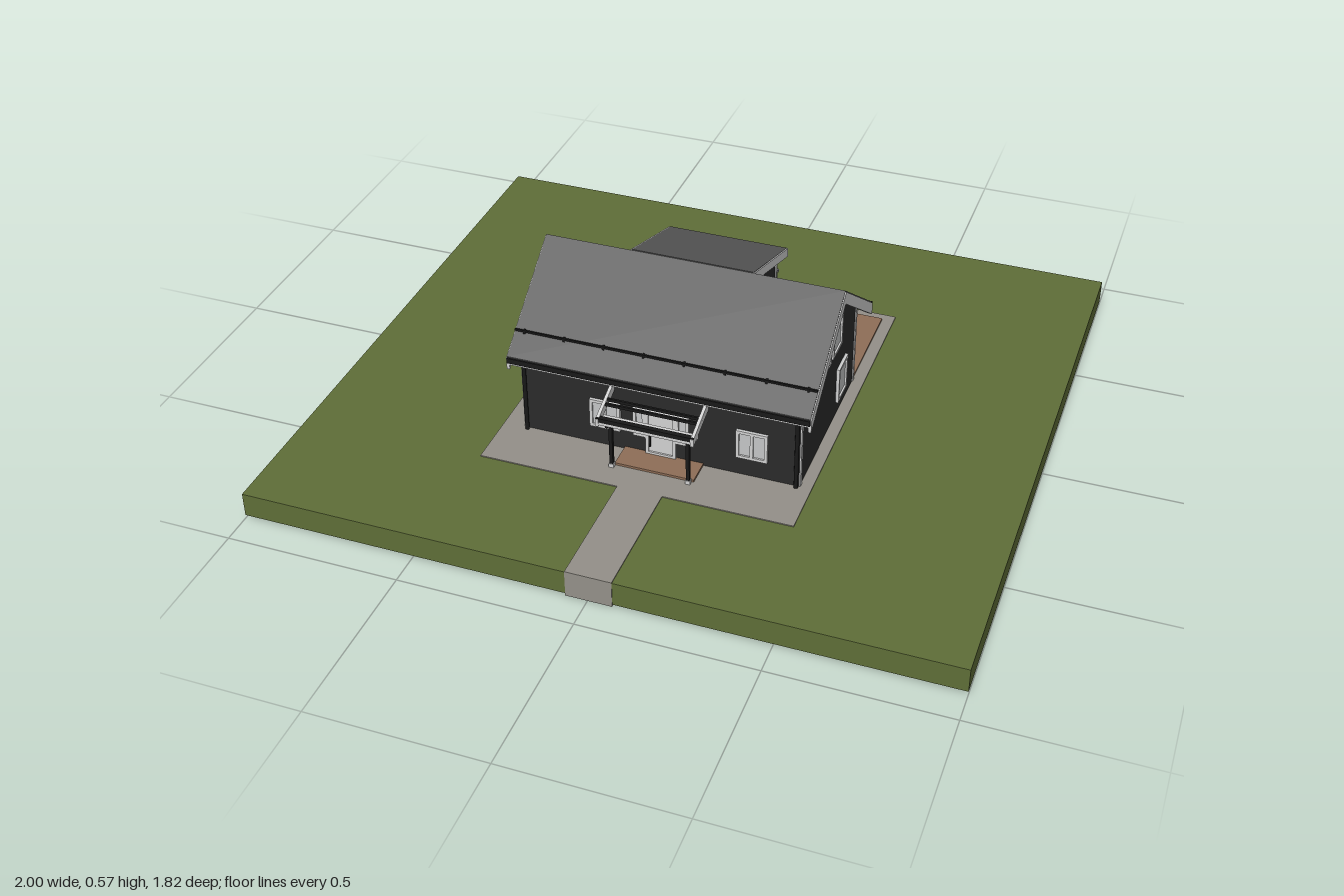
import * as THREE from 'three';

const material = (name, color) => {
  const m = new THREE.MeshStandardMaterial({ color });
  m.name = name;
  return m;
};

export function createModel() {
  const model = new THREE.Group();
  model.name = 'houseOnLawn';
  const grass = material('grass', 0x5f6e38);
  const paving = material('paving', 0x949089);
  const wood = material('deckWood', 0x8f6e57);
  const wall = material('darkCladding', 0x2b2b2b);
  const tiles = material('roofTiles', 0x5a5a5a);
  const white = material('paleTrim', 0xd2d2d2);
  const glass = material('paleGlass', 0xc4c6c7);
  const black = material('blackMetal', 0x191919);
  const metal = material('greyMetal', 0x8c8c8c);

  // Box given by its limits on each axis
  function box(name, mat, x0, x1, y0, y1, z0, z1, parent = model) {
    const mesh = new THREE.Mesh(new THREE.BoxGeometry(x1 - x0, y1 - y0, z1 - z0), mat);
    mesh.position.set((x0 + x1) / 2, (y0 + y1) / 2, (z0 + z1) / 2);
    mesh.name = name;
    parent.add(mesh);
    return mesh;
  }
  // Side profile of [z, y] points, extruded along x
  function prism(name, mat, pts, x0, x1, parent = model) {
    const shape = new THREE.Shape(pts.map(([z, y]) => new THREE.Vector2(-z, y)));
    const geo = new THREE.ExtrudeGeometry(shape, { depth: x1 - x0, bevelEnabled: false });
    geo.rotateY(Math.PI / 2).translate(x0, 0, 0);
    const mesh = new THREE.Mesh(geo, mat);
    mesh.name = name;
    parent.add(mesh);
    return mesh;
  }
  // Upright round bar
  function pole(name, mat, x, z, y0, y1, r, parent = model) {
    const mesh = new THREE.Mesh(new THREE.CylinderGeometry(r, r, y1 - y0, 8), mat);
    mesh.position.set(x, (y0 + y1) / 2, z);
    mesh.name = name;
    parent.add(mesh);
  }

  // Plot
  box('lawn', grass, -1, 1, 0.01, 0.082, -0.91, 0.91);
  box('gravelBed', paving, -0.465, 0.44, 0, 0.085, -0.5, 0.545);
  box('frontPath', paving, -0.06, 0.07, 0.004, 0.085, 0.54, 0.912);
  box('terrace', wood, -0.39, 0.405, 0.08, 0.091, -0.47, -0.14);
  box('porchDeck', wood, -0.1, 0.13, 0.08, 0.092, 0.37, 0.46);

  // Main walls
  const X0 = -0.4, X1 = 0.405, ZF = 0.382, ZB = -0.148, RIDGE = 0.123;
  const roofY = (z) => 0.565 - 0.74 * Math.abs(z - RIDGE);
  const dormerY = (z) => 0.568 - 0.33 * (RIDGE - z);
  prism('walls', wall, [[ZF, 0.08], [ZF, roofY(ZF) - 0.025], [RIDGE, 0.54],
    [ZB, roofY(ZB) - 0.025], [ZB, 0.08]], X0, X1);
  for (const [a, b] of [[X0 - 0.003, X0], [X1, X1 + 0.003]]) {
    box('cornerBoard', white, a, b, 0.085, 0.345, ZF - 0.014, ZF);
    box('cornerBoard', white, a, b, 0.085, 0.34, ZB, ZB + 0.014);
  }

  // Main roof: chevron layers
  const E0 = 0.42, E1 = -0.18;
  const chevron = (top, bottom) => [[E0, roofY(E0) - top], [RIDGE, 0.565 - top], [E1, roofY(E1) - top],
    [E1, roofY(E1) - bottom], [RIDGE, 0.565 - bottom], [E0, roofY(E0) - bottom]];
  prism('roofTiling', tiles, chevron(0, 0.012), -0.425, 0.44);
  prism('soffit', white, chevron(0.012, 0.027), -0.422, 0.437);
  for (const x of [-0.428, 0.434]) prism('bargeboard', white, chevron(0.004, 0.042), x, x + 0.009);
  box('frontGutter', black, -0.425, 0.44, 0.326, 0.342, 0.41, 0.425);
  for (const [a, b] of [[-0.425, -0.17], [0.185, 0.44]])
    box('backGutter', black, a, b, 0.322, 0.338, -0.187, -0.172);
  box('snowGuard', black, -0.425, 0.44, 0.394, 0.4, 0.358, 0.363);
  for (let i = 0; i < 8; i++) {
    const x = -0.4 + i * 0.116;
    box('snowGuardBracket', black, x, x + 0.006, 0.38, 0.4, 0.354, 0.362);
  }
  for (const x of [X0 + 0.008, X1 - 0.008]) {
    pole('downpipe', black, x, ZF + 0.007, 0.085, 0.335, 0.006);
    pole('downpipe', black, x, ZB - 0.007, 0.085, 0.33, 0.006);
  }

  // Shed dormer at the back
  const slope = (top, bottom, z0 = E1) => [[RIDGE, 0.568 - top], [z0, dormerY(z0) - top],
    [z0, dormerY(z0) - bottom], [RIDGE, 0.568 - bottom]];
  prism('dormerWalls', wall, [[0.1, 0.28], [0.1, dormerY(0.1) - 0.02],
    [ZB - 0.001, dormerY(ZB) - 0.02], [ZB - 0.001, 0.28]], -0.15, 0.163);
  prism('dormerTiling', tiles, slope(0, 0.01), -0.17, 0.183);
  prism('dormerSoffit', white, slope(0.01, 0.02), -0.168, 0.181);
  for (const x of [-0.174, 0.18]) prism('dormerBargeboard', white, slope(0.001, 0.028), x, x + 0.007);
  box('dormerGutter', black, -0.165, 0.178, 0.446, 0.456, -0.188, -0.178);
  for (const x of [-0.153, 0.163])
    box('dormerCornerBoard', white, x, x + 0.003, 0.33, 0.46, ZB - 0.001, ZB + 0.011);

  // Windows and doors: a thin pane, a frame and upright bars, facing local +z
  const faces = {
    front: [0, 0, ZF, 0], back: [0, 0, ZB - 0.001, Math.PI],
    right: [X1, 0, 0, Math.PI / 2], left: [X0, 0, 0, -Math.PI / 2],
  };
  function opening(name, face, a, b, y0, y1, panes = 1, crossbar = false) {
    const [x, y, z, turn] = faces[face];
    const g = new THREE.Group();
    g.name = name;
    g.position.set(x, y, z);
    g.rotation.y = turn;
    model.add(g);
    // world range along the wall to local x
    const flip = face === 'back' || face === 'right';
    const u0 = flip ? -b : a, u1 = flip ? -a : b, t = 0.009;
    box('pane', name.includes('Door') && panes === 1 ? white : glass, u0, u1, y0, y1, 0, 0.004, g);
    for (const v of [y0, y1 - t]) box('frameRail', white, u0, u1, v, v + t, 0, 0.009, g);
    for (let i = 0; i <= panes; i++) {
      const u = u0 + (u1 - u0 - t) * i / panes;
      box('frameStile', white, u, u + t, y0 + t, y1 - t, 0, 0.009, g);
    }
    if (crossbar) box('crossbar', white, u0, u1, (y0 + y1) / 2, (y0 + y1) / 2 + 0.005, 0, 0.007, g);
  }
  opening('frontWindow', 'front', -0.2, -0.11, 0.145, 0.236, 2);
  opening('frontWindow', 'front', 0.225, 0.315, 0.145, 0.236, 2);
  opening('doorSidelight', 'front', -0.072, -0.036, 0.145, 0.238);
  opening('doorSidelight', 'front', 0.052, 0.09, 0.145, 0.238);
  opening('frontDoor', 'front', -0.036, 0.052, 0.09, 0.238);
  box('doorHandle', black, -0.024, -0.019, 0.12, 0.155, ZF + 0.009, ZF + 0.014);
  for (const side of ['left', 'right']) {
    opening('gableWindow', side, 0.025, 0.115, 0.327, 0.434);
    opening('gableWindow', side, 0.131, 0.218, 0.327, 0.434);
    opening('sideWindow', side, -0.045, 0.042, 0.13, 0.243, 1);
  }
  opening('sideDoor', 'left', 0.235, 0.295, 0.09, 0.225);
  opening('backWindow', 'back', 0.21, 0.37, 0.13, 0.238, 3);
  opening('backWindow', 'back', -0.335, -0.17, 0.13, 0.238, 3);
  opening('terraceDoor', 'back', -0.07, 0.085, 0.092, 0.24, 2);
  opening('balconyDoor', 'back', -0.08, 0.095, 0.29, 0.425, 2, true);

  // Balcony
  const B0 = -0.128, B1 = 0.143, BZ = -0.242;
  box('balconyFloor', white, B0, B1, 0.274, 0.286, BZ, ZB);
  for (const x of [B0 + 0.005, B1 - 0.005]) {
    pole('balconyPost', black, x, -0.228, 0.085, 0.275, 0.004);
    box('postFoot', white, x - 0.007, x + 0.007, 0.085, 0.098, -0.235, -0.221);
    box('sideHandrail', metal, x - 0.004, x + 0.004, 0.343, 0.351, BZ, ZB);
    for (let i = 0; i < 5; i++) pole('sideBaluster', metal, x, BZ + 0.004 + i * 0.02, 0.284, 0.345, 0.0025);
  }
  box('frontHandrail', metal, B0, B1, 0.343, 0.351, BZ, BZ + 0.008);
  box('lowerRail', metal, B0, B1, 0.292, 0.297, BZ + 0.001, BZ + 0.006);
  for (let i = 0; i < 16; i++)
    pole('frontBaluster', metal, B0 + 0.005 + i * (B1 - B0 - 0.01) / 15, BZ + 0.004, 0.284, 0.345, 0.0025);

  // Open porch canopy
  const P0 = -0.135, P1 = 0.145;
  const porchY = (z) => 0.307 - 0.36 * (z - ZF);
  for (const x of [P0, P1 - 0.009])
    prism('canopySideBeam', white, [[ZF, porchY(ZF)], [ZF, porchY(ZF) - 0.028],
      [0.503, porchY(0.503) - 0.024], [0.503, porchY(0.503)]], x, x + 0.009);
  box('canopyLedger', white, P0, P1, 0.298, 0.307, ZF, ZF + 0.01);
  for (const z of [0.43, 0.445]) box('canopyPurlin', black, P0, P1, porchY(z) - 0.012, porchY(z) - 0.003, z, z + 0.006);
  box('canopyBeam', white, P0, P1, 0.24, 0.252, 0.462, 0.474);
  box('canopyGutter', black, P0, P1, 0.253, 0.266, 0.488, 0.502);
  box('canopyFascia', white, P0, P1, 0.243, 0.253, 0.49, 0.5);
  for (const x of [-0.105, 0.117]) {
    box('porchPost', black, x - 0.005, x + 0.005, 0.085, 0.242, 0.462, 0.473);
    box('postFoot', white, x - 0.007, x + 0.007, 0.085, 0.097, 0.46, 0.475);
  }
  box('canopyDownpipe', black, -0.109, -0.102, 0.235, 0.243, 0.468, 0.497);
  return model;
}
